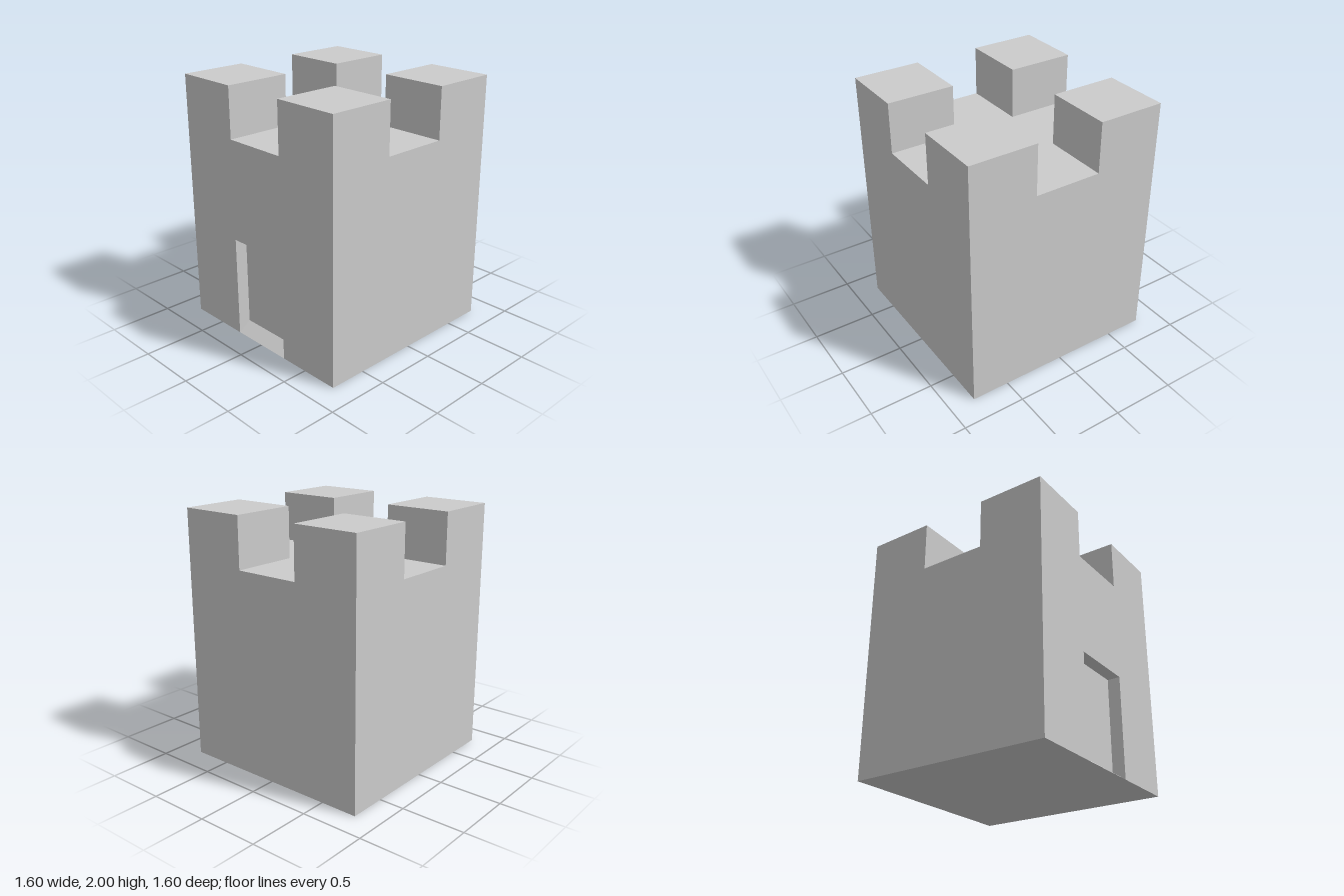
import * as THREE from 'three';

const H = 0.8;        // half width of the tower
const A = 0.267;      // half width of gaps and doorway
const DECK = 1.6, TOP = 2;
const DOOR = 0.805, DEPTH = 0.1, SILL = 0.07;

const material = new THREE.MeshStandardMaterial({ color: 0xcccccc, flatShading: true });

const rect = (x0, y0, x1, y1) => [[x0, y0], [x1, y0], [x1, y1], [x0, y1]];

// Flat face drawn in xy (facing +z), then turned and placed
function panel(name, points, position = [0, 0, 0], rx = 0, ry = 0) {
  const shape = new THREE.Shape(points.map(([x, y]) => new THREE.Vector2(x, y)));
  const mesh = new THREE.Mesh(new THREE.ShapeGeometry(shape), material);
  mesh.name = name;
  mesh.position.set(...position);
  mesh.rotation.set(rx, ry, 0);
  return mesh;
}

function group(name, ...parts) {
  const g = new THREE.Group();
  g.name = name;
  if (parts.length) g.add(...parts);
  return g;
}

export function createModel() {
  const Q = Math.PI / 2;
  const tower = group('castleTower');

  // Outer walls with a battlement gap; the front one also has a door opening
  const crown = [[H, 0], [H, TOP], [A, TOP], [A, DECK], [-A, DECK], [-A, TOP], [-H, TOP], [-H, 0]];
  const opening = [[-A, 0], [-A, DOOR], [A, DOOR], [A, 0]];
  ['frontWall', 'leftWall', 'backWall', 'rightWall'].forEach((name, i) => {
    const wall = panel(name, i === 0 ? [...crown, ...opening] : crown, [0, 0, H]);
    const side = group(name + 'Side', wall);
    side.rotation.y = i * Q;
    tower.add(side);
  });

  // Corner merlons: top and the two inward faces
  for (let i = 0; i < 4; i++) {
    const merlon = group('merlon' + (i + 1),
      panel('merlonTop', rect(A, -H, H, -A), [0, TOP, 0], -Q),
      panel('merlonInnerSide', rect(A, DECK, H, TOP), [A, 0, 0], 0, -Q),
      panel('merlonInnerBack', rect(-H, DECK, -A, TOP), [0, 0, A], 0, Math.PI));
    merlon.rotation.y = i * Q;
    tower.add(merlon);
  }

  // Cross-shaped deck and square base
  const cross = [[H, -A], [H, A], [A, A], [A, H], [-A, H], [-A, A],
    [-H, A], [-H, -A], [-A, -A], [-A, -H], [A, -H], [A, -A]];
  tower.add(panel('deck', cross, [0, DECK, 0], -Q));
  tower.add(panel('base', rect(-H, -H, H, H), [0, 0, 0], Q));

  // Shallow doorway with a sloping threshold
  const back = H - DEPTH;
  const reveal = [[H, 0], [H, DOOR], [back, DOOR], [back, SILL]];
  tower.add(group('doorway',
    panel('door', rect(-A, SILL, A, DOOR), [0, 0, back]),
    panel('leftReveal', reveal, [A, 0, 0], 0, -Q),
    panel('rightReveal', reveal.map(([z, y]) => [-z, y]), [-A, 0, 0], 0, Q),
    panel('lintel', rect(-A, back, A, H), [0, DOOR, 0], Q),
    panel('threshold', rect(-A, 0, A, Math.hypot(DEPTH, SILL)), [0, 0, H], -Math.atan2(DEPTH, SILL))));

  return tower;
}
